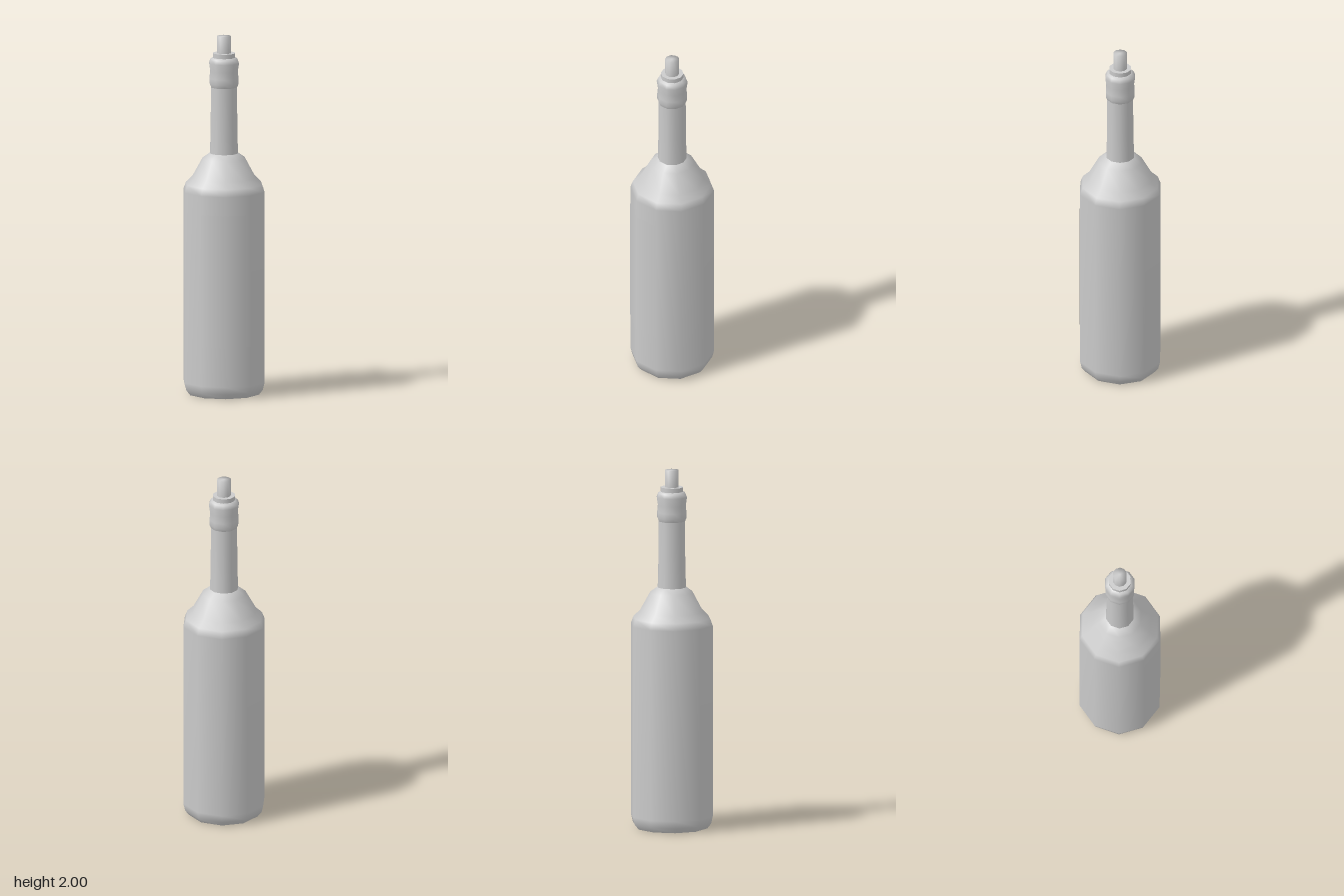
import * as THREE from 'three';

const SIDES = 10;
const grey = new THREE.MeshStandardMaterial({ color: 0xcccccc, side: THREE.DoubleSide });

// Ten-sided turned part from [radius, height] pairs, with a corner facing front
function turned(name, profile, sides = SIDES, start = 0, sweep = Math.PI * 2) {
  const points = profile.map(([r, y]) => new THREE.Vector2(r, y));
  const mesh = new THREE.Mesh(new THREE.LatheGeometry(points, sides, start, sweep), grey);
  mesh.name = name;
  return mesh;
}

export function createModel() {
  const bottle = new THREE.Group();
  bottle.name = 'bottle';

  // Body with rounded foot and sloping shoulder
  bottle.add(turned('body', [
    [0.2, 0], [0.222, 0.028], [0.232, 0.07], [0.232, 1.135], [0.217, 1.175],
    [0.18, 1.21], [0.122, 1.315], [0.08, 1.345],
  ]));

  // Shallow recess under the body
  bottle.add(turned('baseRecess', [[0, 0.045], [0.19, 0.04], [0.2, 0]]));

  // Neck, collar and lip
  bottle.add(turned('neck', [[0.08, 1.345], [0.076, 1.5], [0.075, 1.715]]));
  bottle.add(turned('collar', [
    [0.075, 1.715], [0.083, 1.735], [0.083, 1.765], [0.079, 1.805],
    [0.086, 1.85], [0.077, 1.872], [0.063, 1.88],
  ]));
  bottle.add(turned('lip', [[0.063, 1.875], [0.063, 1.905]]));
  bottle.add(turned('lipTop', [[0.063, 1.905], [0.036, 1.905]]));

  // Cork
  bottle.add(turned('cork', [[0.039, 1.9], [0.039, 2], [0, 2]]));

  // Label wrapped over the two front facets
  bottle.add(turned('label', [[0.234, 0.29], [0.234, 1.03]], 2, -Math.PI / 5, Math.PI * 2 / 5));

  return bottle;
}
